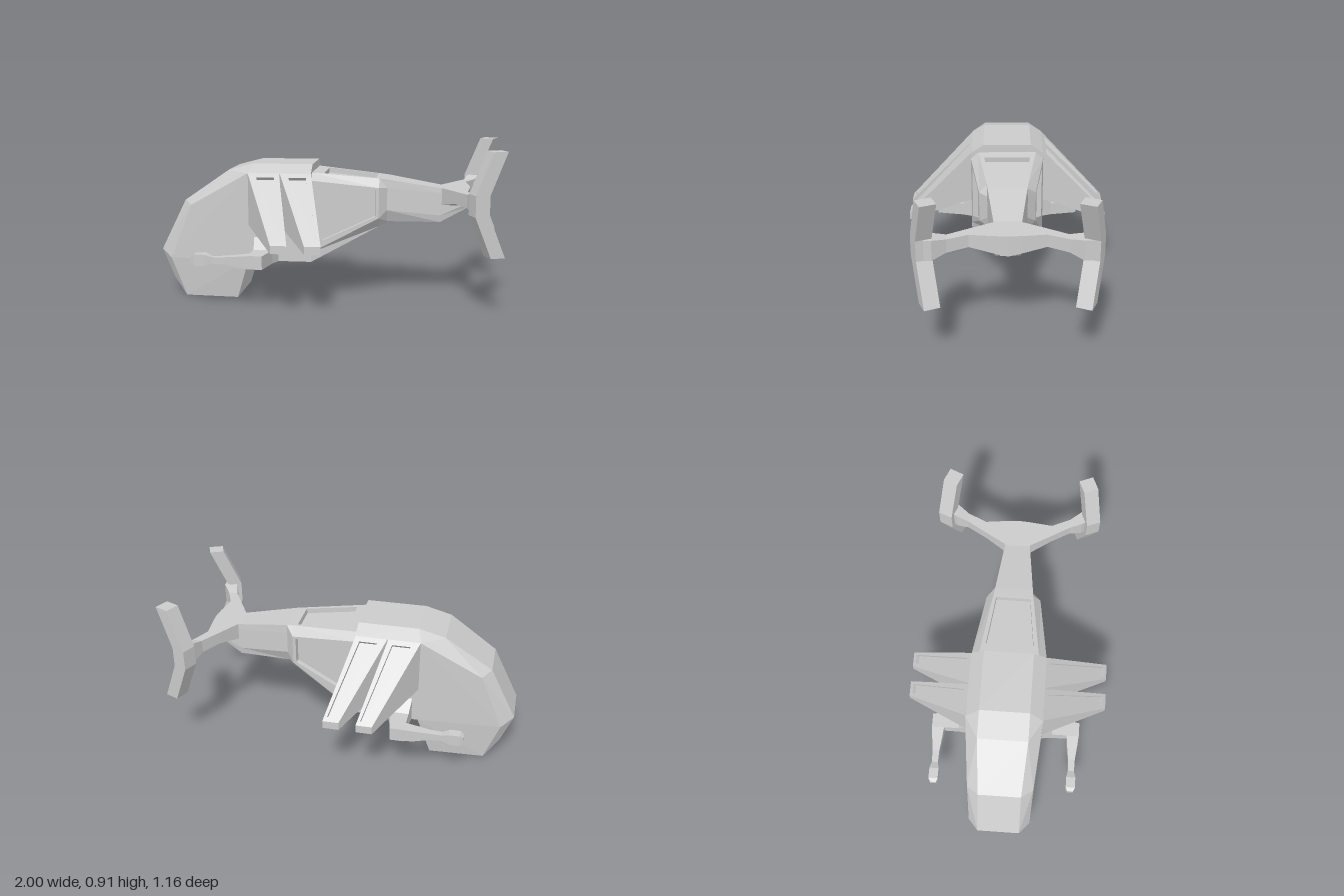
import * as THREE from 'three';
import { ConvexGeometry } from 'three/addons/geometries/ConvexGeometry.js';

const V = (x, y, z) => new THREE.Vector3(x, y, z);
const material = new THREE.MeshStandardMaterial({ color: 0xcccccc, flatShading: true });

// Flat-shaded solid from triangles, turned so that its faces point outwards
function solid(tris) {
  let volume = 0;
  for (const [a, b, c] of tris) volume += a.dot(b.clone().cross(c));
  const pts = tris.flatMap(([a, b, c]) => (volume < 0 ? [a, c, b] : [a, b, c]));
  const g = new THREE.BufferGeometry().setFromPoints(pts);
  g.computeVertexNormals();
  return g;
}

// Joins rings of points; panels['ring,edge'] = [u0, u1, v0, v1, depth] sinks a recess into that face
function loft(rings, panels = {}) {
  const tris = [];
  const quad = (a, b, c, d) => tris.push([a, b, c], [a, c, d]);
  const centre = (r) => r.reduce((s, p) => s.add(p), V(0, 0, 0)).divideScalar(r.length);
  const n = rings[0].length;
  for (let i = 0; i < rings.length - 1; i++) {
    const middle = centre([...rings[i], ...rings[i + 1]]);
    for (let j = 0; j < n; j++) {
      const k = (j + 1) % n;
      const q = [rings[i][j], rings[i][k], rings[i + 1][k], rings[i + 1][j]];
      const p = panels[i + ',' + j];
      if (!p) { quad(...q); continue; }
      const [u0, u1, v0, v1, depth] = p;
      const at = (u, v) => q[0].clone().lerp(q[1], u).lerp(q[3].clone().lerp(q[2], u), v);
      const rim = [at(u0, v0), at(u1, v0), at(u1, v1), at(u0, v1)];
      const inward = q[2].clone().sub(q[0]).cross(q[3].clone().sub(q[1])).normalize();
      if (inward.dot(centre(q).sub(middle)) > 0) inward.negate();
      const floor = rim.map((r) => r.clone().addScaledVector(inward, depth));
      for (let s = 0; s < 4; s++) {
        const t = (s + 1) % 4;
        quad(q[s], q[t], rim[t], rim[s]);
        quad(rim[s], rim[t], floor[t], floor[s]);
      }
      quad(...floor);
    }
  }
  const first = rings[0], last = rings[rings.length - 1];
  for (let j = 1; j < n - 1; j++) {
    tris.push([first[0], first[j + 1], first[j]], [last[0], last[j], last[j + 1]]);
  }
  return solid(tris);
}

// Reflects a geometry across z = 0
function mirrored(geometry) {
  const g = geometry.index ? geometry.toNonIndexed() : geometry;
  const p = g.attributes.position, tris = [];
  const get = (i) => V(p.getX(i), p.getY(i), -p.getZ(i));
  for (let i = 0; i < p.count; i += 3) tris.push([get(i), get(i + 1), get(i + 2)]);
  return solid(tris);
}

const bothSides = (list) => list.flatMap(([x, y, z]) => [V(x, y, z), V(x, y, -z)]);

export function createModel() {
  const model = new THREE.Group();
  model.name = 'aircraft';
  const add = (name, geometry) => {
    const mesh = new THREE.Mesh(geometry, material);
    mesh.name = name;
    model.add(mesh);
  };
  const addPair = (name, geometry) => {
    add(name + 'Right', geometry);
    add(name + 'Left', mirrored(geometry));
  };

  // Faceted cabin with its chin
  add('cabin', new ConvexGeometry(bothSides([
    [-0.845, 0, 0.165], [-0.93, 0.1, 0.12], [-1, 0.27, 0.12], [-0.85, 0.57, 0.12],
    [-0.58, 0.755, 0.14], [-0.43, 0.795, 0.14], [-0.93, 0.23, 0.178], [-0.8, 0.55, 0.185],
    [-0.455, 0.745, 0.215], [-0.455, 0.235, 0.215], [-0.53, 0, 0.18],
  ])));

  // Middle body with chamfered roof
  add('middleBody', new ConvexGeometry(bothSides([
    [-0.455, 0.235, 0.215], [-0.455, 0.745, 0.215], [-0.085, 0.235, 0.215],
    [-0.085, 0.745, 0.215], [-0.43, 0.795, 0.14], [-0.085, 0.795, 0.14],
  ])));

  // Tapering rear body and tail boom: x, then (y, half width) from top to bottom
  const boom = [
    [-0.085, [0.75, 0.17], [0.71, 0.215], [0.29, 0.215], [0.235, 0.213]],
    [0.3, [0.715, 0.115], [0.665, 0.158], [0.49, 0.158], [0.435, 0.105]],
    [0.345, [0.71, 0.11], [0.66, 0.112], [0.53, 0.112], [0.46, 0.08]],
    [0.65, [0.66, 0.075], [0.63, 0.077], [0.5, 0.077], [0.46, 0.07]],
    [0.81, [0.66, 0.05], [0.64, 0.05], [0.57, 0.05], [0.545, 0.04]],
  ].map(([x, ...half]) => [
    ...half.map(([y, z]) => V(x, y, z)),
    ...half.map(([y, z]) => V(x, y, -z)).reverse(),
  ]);
  add('rearBody', loft(boom, {
    '0,1': [0.07, 0.9, 0.17, 0.95, 0.03],
    '0,5': [0.1, 0.93, 0.17, 0.95, 0.03],
    '0,3': [0.13, 0.87, 0.1, 0.88, 0.03],
    '0,7': [0.08, 0.92, 0.17, 0.95, 0.03],
  }));

  // Two slotted wedge wings on each side: root front/rear x, tip front/rear x
  const wings = [[-0.452, -0.27, -0.255, -0.165], [-0.265, -0.085, -0.07, 0.02]];
  wings.forEach(([a, b, c, d], i) => {
    const ring = (x0, x1, top, bottom, z) =>
      [V(x0, top, z), V(x1, top, z), V(x1, bottom, z), V(x0, bottom, z)];
    addPair(['frontWing', 'rearWing'][i], loft(
      [ring(a, b, 0.747, 0.445, 0.213), ring(c, d, 0.405, 0.36, 0.582)],
      { '0,0': [0.24, 0.82, 0.06, 0.95, 0.022] },
    ));
  });

  // Gun mounts and arms
  const box = (z, x0, x1, y0, y1) => [V(x0, y0, z), V(x1, y0, z), V(x1, y1, z), V(x0, y1, z)];
  addPair('gunMount', loft([
    box(0.2, -0.42, -0.27, 0.235, 0.39),
    box(0.28, -0.41, -0.3, 0.235, 0.312),
    box(0.44, -0.41, -0.33, 0.235, 0.312),
  ]));

  // Guns with a bulbous muzzle: x, lower y, upper y, half width
  addPair('gun', loft([
    [-0.74, 0.26, 0.295, 0.018], [-0.72, 0.245, 0.31, 0.027], [-0.66, 0.245, 0.31, 0.027],
    [-0.62, 0.258, 0.295, 0.018], [-0.55, 0.255, 0.297, 0.02], [-0.47, 0.24, 0.305, 0.03],
    [-0.4, 0.235, 0.312, 0.037], [-0.34, 0.235, 0.312, 0.037],
  ].map(([x, y0, y1, w]) =>
    [V(x, y0, 0.403 - w), V(x, y0, 0.403 + w), V(x, y1, 0.403 + w), V(x, y1, 0.403 - w)])));

  // Swept tail arms
  addPair('tailArm', loft([
    box(0, 0.65, 0.82, 0.545, 0.66),
    box(0.07, 0.655, 0.815, 0.56, 0.66),
    box(0.2, 0.73, 0.8, 0.59, 0.66),
    box(0.31, 0.795, 0.85, 0.585, 0.66),
    box(0.38, 0.815, 0.9, 0.567, 0.679),
    box(0.42, 0.84, 0.9, 0.567, 0.679),
  ]));

  // Chevron tail fins, toed in
  const chevron = new THREE.Shape([
    [0.097, 0.91], [0, 0.68], [0, 0.565], [0.097, 0.335],
    [0.18, 0.335], [0.083, 0.565], [0.083, 0.68], [0.18, 0.91],
  ].map(([x, y]) => new THREE.Vector2(x, y)));
  const fin = new THREE.ExtrudeGeometry(chevron, { depth: 0.086, bevelEnabled: false });
  fin.translate(0, 0, -0.086).rotateY(THREE.MathUtils.degToRad(23)).translate(0.834, 0, 0.49);
  addPair('tailFin', fin);

  return model;
}
